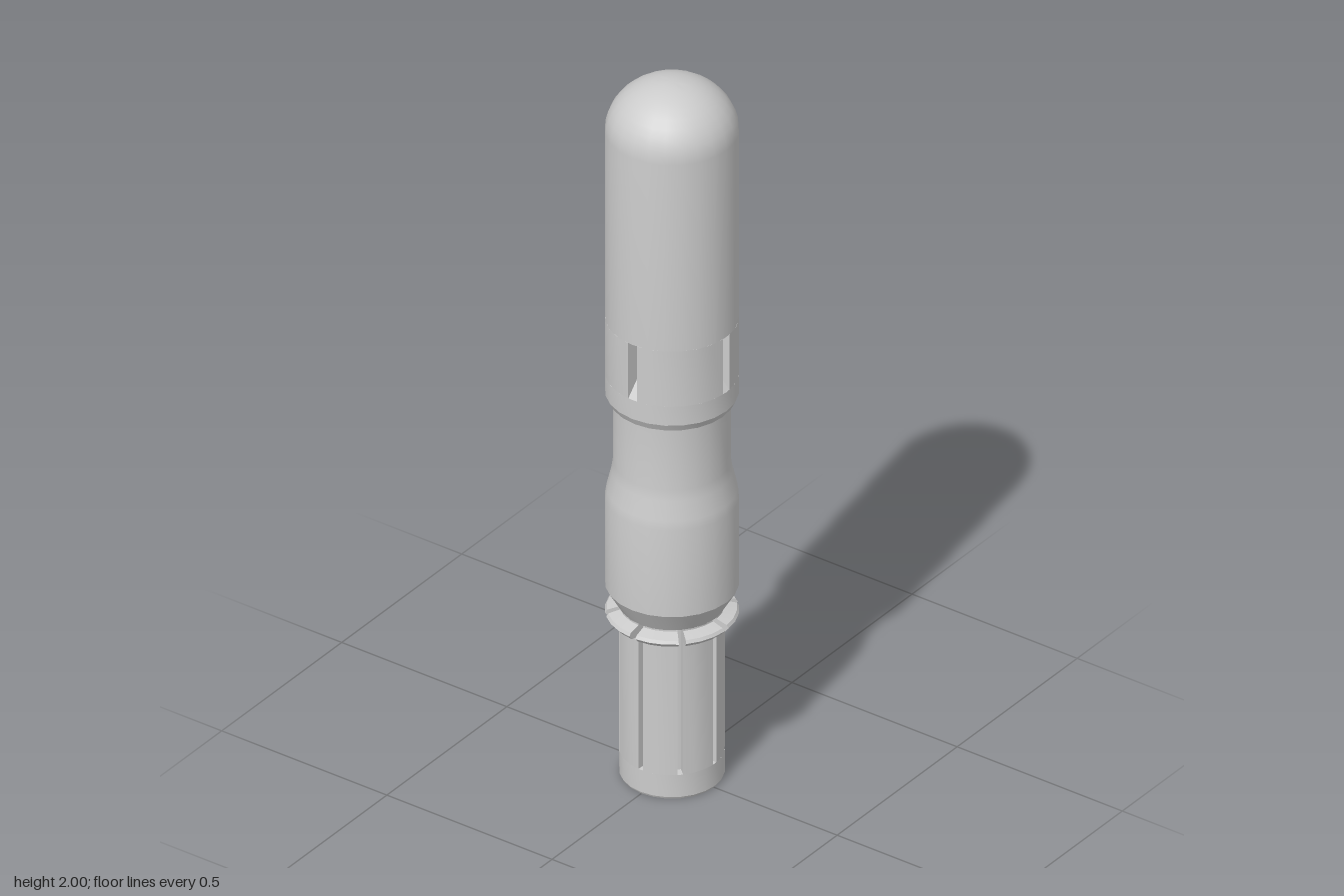
import * as THREE from 'three';
import { toCreasedNormals } from 'three/addons/utils/BufferGeometryUtils.js';

const material = new THREE.MeshStandardMaterial({ color: 0xcccccc, side: THREE.DoubleSide });
const points = (list) => list.map(([r, y]) => new THREE.Vector2(r, y));

function addMesh(parent, name, geometry) {
  const mesh = new THREE.Mesh(geometry, material);
  mesh.name = name;
  parent.add(mesh);
  return mesh;
}

function turned(list, segments = 24, start = 0, length = Math.PI * 2) {
  return toCreasedNormals(new THREE.LatheGeometry(points(list), segments, start, length), 0.45);
}

// Ring of closed wall sections, separated by narrow slots
function slottedRing(name, profile, count, halfSlot) {
  const ring = new THREE.Group();
  ring.name = name;
  const step = (Math.PI * 2) / count;
  for (let i = 0; i < count; i++) {
    const start = i * step + halfSlot;
    const end = (i + 1) * step - halfSlot;
    addMesh(ring, 'wallSection', turned([...profile, profile[0]], 24 / count, start, end - start));
    for (const angle of [start, end]) {
      const side = new THREE.ShapeGeometry(new THREE.Shape(points(profile)));
      addMesh(ring, 'slotSide', side.rotateY(angle - Math.PI / 2));
    }
  }
  return ring;
}

export function createModel() {
  const model = new THREE.Group();
  model.name = 'capsuleHandle';
  const R = 0.165;

  // Waisted lower body and the collar below the windows
  addMesh(model, 'lowerBody', turned([
    [0.1, 0.49], [0.13, 0.49], [R, 0.55], [R, 0.8], [0.161, 0.825], [0.149, 0.875],
    [0.145, 0.905], [0.145, 1.085], [0.155, 1.085], [R, 1.105], [R, 1.16], [0.12, 1.16],
  ]));

  // Upper body with a rounded dome
  const dome = [];
  for (let i = 0; i <= 10; i++) {
    const a = (i / 10) * Math.PI / 2;
    dome.push([R * Math.cos(a), 1.86 + 0.14 * Math.sin(a)]);
  }
  dome[10][0] = 0;
  addMesh(model, 'upperBody', turned([[0.12, 1.32], [R, 1.32], ...dome]));

  // Four windows with a sloping sill
  model.add(slottedRing('windowBand', [[0.12, 1.16], [R, 1.16], [R, 1.32], [0.12, 1.32]], 4, 0.079));
  addMesh(model, 'windowCore', turned([[0.12, 1.16], [0.12, 1.32]]));
  for (let i = 0; i < 4; i++) {
    const sill = new THREE.ExtrudeGeometry(
      new THREE.Shape(points([[0.115, 1.16], [0.164, 1.16], [0.115, 1.22]])),
      { depth: 0.026, bevelEnabled: false });
    addMesh(model, 'windowSill', sill.translate(0, 0, -0.013).rotateY(i * Math.PI / 2));
  }

  // Slotted sleeve with its split flange
  model.add(slottedRing('slottedSleeve', [
    [0.105, 0.07], [0.13, 0.07], [0.13, 0.455], [0.155, 0.458], [R, 0.47],
    [0.16, 0.478], [0.13, 0.486], [0.13, 0.49], [0.105, 0.49],
  ], 8, 0.055));
  addMesh(model, 'sleeveCore', turned([[0.105, 0.07], [0.105, 0.49]]));

  // Solid foot with a conical recess underneath
  addMesh(model, 'foot', turned([
    [0, 0.04], [0.068, 0.04], [0.115, 0], [0.127, 0], [0.13, 0.006], [0.13, 0.07], [0.105, 0.07],
  ]));

  return model;
}
